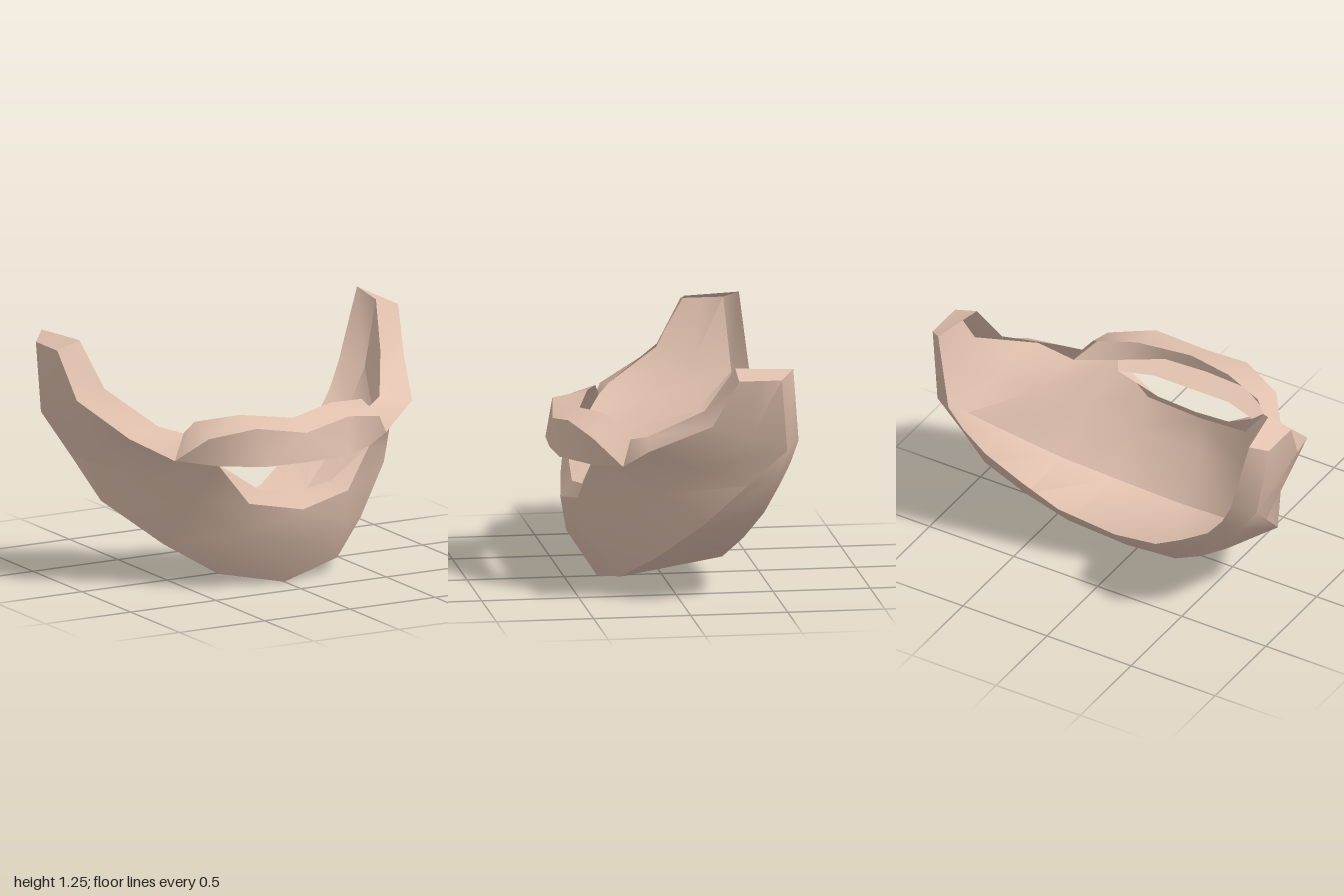
import * as THREE from 'three';
import { toCreasedNormals } from 'three/addons/utils/BufferGeometryUtils.js';

const v = (x, y, z) => new THREE.Vector3(x, y, z);

// Cross-sections from the centre line out to the left sideburn.
// Each one: outer rim, jaw line, low back edge, rear back edge, inner rim
const sections = [
  [v(0, .42, .52), v(0, 0, .33), v(0, .08, -.21), v(0, .22, -.33), v(0, .5, .46)],
  [v(.29, .475, .475), v(.35, .07, .26), v(.32, .15, -.265), v(.29, .32, -.41), v(.21, .53, .44)],
  [v(.44, .68, .43), v(.58, .22, .1), v(.52, .29, -.345), v(.48, .45, -.46), v(.4, .67, .36)],
  [v(.62, .7, .29), v(.83, .435, -.1), v(.72, .46, -.42), v(.66, .59, -.51), v(.54, .825, .24)],
  [v(.83, .82, .19), v(.89, .64, -.31), v(.83, .65, -.465), v(.77, .73, -.55), v(.65, .86, .17)],
  [v(.96, .97, -.12), v(.95, .83, -.505), v(.95, .83, -.505), v(.84, .86, -.58), v(.81, 1.02, -.1)],
  [v(1, 1.21, -.25), v(1, 1.21, -.47), v(1, 1.21, -.47), v(.925, 1.25, -.54), v(.87, 1.25, -.25)],
];

// Outer skin of one section, with a chin bulge that fades toward the sideburn
function skin([rim, jaw, low, rear], i) {
  const bulge = Math.max(0, 1 - i / 4);
  const cheek = rim.clone().lerp(jaw, 0.5).add(v(0, .035 * bulge, .065 * bulge));
  return [rim, cheek, jaw, low, rear];
}

// Narrow inward lip along the upper edge of one section
const lip = ([rim, , , , inner]) => [inner, rim];

// Moustache profiles: inner top, outer top, outer bottom, inner bottom;
// the last two meet the mouth corner and the cheek
const [, , corner, notch, , , tip] = sections;
const moustacheProfiles = [
  [v(0, .88, .42), v(0, .83, .56), v(0, .68, .575), v(0, .67, .42)],
  [v(.27, .91, .34), v(.27, .875, .52), v(.24, .68, .56), v(.22, .67, .42)],
  [v(.49, .885, .265), v(.5, .83, .43), corner[0], corner[4]],
  [notch[4], notch[0], corner[0], corner[4]],
];

// Skins open profiles into a sheet and mirrors it across x = 0
function mirroredLoft(profiles) {
  const points = [];
  const triangle = (a, b, c) => {
    if (a.equals(b) || b.equals(c) || a.equals(c)) return;
    points.push(a, b, c);
    for (const p of [a, c, b]) points.push(v(-p.x, p.y, p.z));
  };
  for (let i = 0; i + 1 < profiles.length; i++) {
    const r = profiles[i], s = profiles[i + 1];
    for (let j = 0; j + 1 < r.length; j++) {
      triangle(r[j], r[j + 1], s[j + 1]);
      triangle(r[j], s[j + 1], s[j]);
    }
  }
  return toCreasedNormals(new THREE.BufferGeometry().setFromPoints(points), 0.85);
}

export function createModel() {
  const group = new THREE.Group();
  group.name = 'beard';
  const hair = new THREE.MeshStandardMaterial({ color: 0xe1c1af, side: THREE.DoubleSide });
  hair.name = 'paleHair';

  const add = (name, profiles) => {
    const mesh = new THREE.Mesh(mirroredLoft(profiles), hair);
    mesh.name = name;
    group.add(mesh);
  };

  // Open shell of chin, jaw and sideburns, folded in along its back edge
  add('jawBeard', sections.map(skin));
  // Lip below the mouth opening
  add('lowerLipRim', sections.slice(0, 3).map(lip));
  // Lips up the cheeks, ending in the flat tops of the sideburns
  add('sideburnRims', [...sections.slice(3).map(lip), [tip[3], tip[1]]]);
  // Bar above the mouth opening, hollow behind
  add('moustache', moustacheProfiles);
  return group;
}
